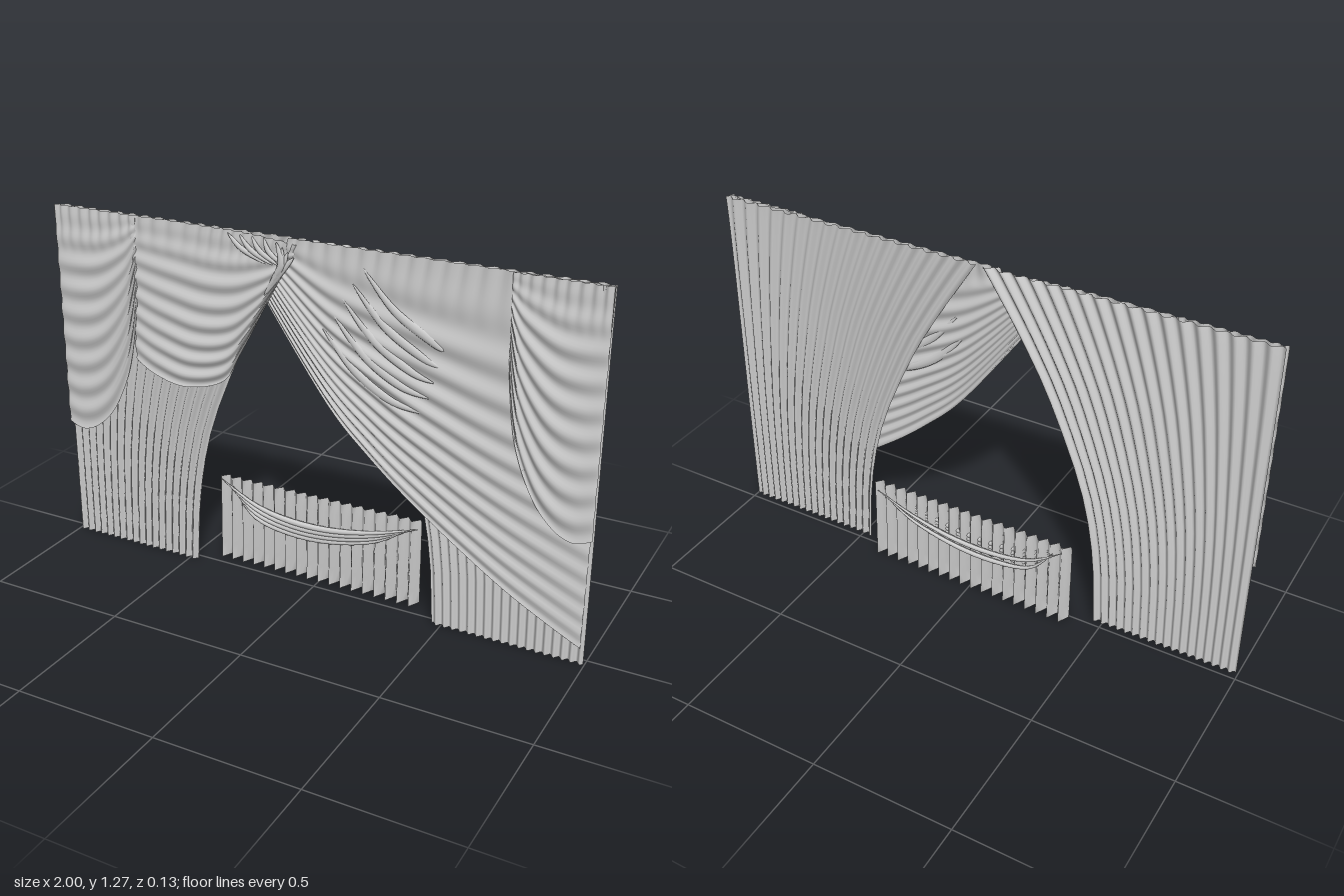
import * as THREE from 'three';

const cloth = new THREE.MeshStandardMaterial({ color: 0xcccccc, side: THREE.DoubleSide });
cloth.name = 'grey cloth';

const TAU = Math.PI * 2;
const lerp = THREE.MathUtils.lerp;
const spline = (pts) => new THREE.SplineCurve(pts.map(([x, y]) => new THREE.Vector2(x, y)));
const mirror = (pts) => pts.map(([x, y]) => [-x, y]).reverse();

// Smooth sheet from f(u, v) -> [x, y, z]; u runs right, v runs down
function sheet(name, nu, nv, f) {
  const pos = [], idx = [];
  for (let j = 0; j <= nv; j++)
    for (let i = 0; i <= nu; i++) pos.push(...f(i / nu, j / nv));
  for (let j = 0; j < nv; j++)
    for (let i = 0; i < nu; i++) {
      const a = j * (nu + 1) + i, b = a + nu + 1;
      idx.push(a, b, a + 1, b, b + 1, a + 1);
    }
  const g = new THREE.BufferGeometry();
  g.setAttribute('position', new THREE.Float32BufferAttribute(pos, 3));
  g.setIndex(idx);
  g.computeVertexNormals();
  const mesh = new THREE.Mesh(g, cloth);
  mesh.name = name;
  return mesh;
}

// Swag hung between an upper and a lower edge, with folds along it and a pleated heading
function swag(name, upper, lower, { folds, pleats, z, bulge, nu, sag = 0, bias = 1 }) {
  const top = spline(upper), hem = spline(lower);
  return sheet(name, nu, folds * 8, (u, v) => {
    const p = top.getPoint(u), q = hem.getPoint(u);
    const mid = Math.sin(Math.PI * u);
    const fade = Math.min(1, v * 4) * (0.45 + 0.55 * mid);
    const wobble = 0.25 * Math.sin(u * 9);
    const fold = Math.sin(TAU * folds * Math.pow(v, bias) + wobble);
    const heading = Math.max(0, 1 - v * 5) * Math.sin(TAU * pleats * u);
    const lift = bulge * Math.sqrt(Math.max(0, mid)) * Math.sin(Math.PI * v * 0.75);
    return [
      lerp(p.x, q.x, v),
      lerp(p.y, q.y, v) - sag * mid * Math.sin(Math.PI * v),
      z + lift + 0.006 * fade * fold + 0.005 * heading,
    ];
  });
}

// Tapered roll of cloth along a curve in the x-y plane
function roll(name, pts, z, radius, depth) {
  const c = spline(pts);
  return sheet(name, 24, 8, (u, v) => {
    const p = c.getPoint(u), t = c.getTangent(u);
    const r = 0.12 + 0.88 * Math.sin(Math.PI * u);
    const a = -v * TAU;
    const n = Math.cos(a) * radius * r;
    return [p.x - t.y * n, p.y + t.x * n, z - Math.sin(a) * depth * r];
  });
}

export function createModel() {
  const model = new THREE.Group();
  model.name = 'draped curtains';

  // Two full-height pleated curtains, fanning out from the top centre
  const edge = spline([[-0.01, 1.27], [-0.055, 1.2], [-0.155, 1.04], [-0.26, 0.85],
    [-0.385, 0.55], [-0.445, 0.28], [-0.465, 0]]);
  for (const side of [-1, 1]) {
    model.add(sheet(side < 0 ? 'rightCurtain' : 'leftCurtain', 144, 16, (u, v) => {
      const e = edge.getPoint(v);
      const across = side < 0 ? u : 1 - u;
      const x = lerp(-0.995, e.x, across);
      const wave = Math.sin(TAU * 18 * across + 0.4 * Math.sin(v * 5));
      return [-side * -x * -1, e.y, 0.027 + 0.008 * wave];
    }));
  }

  // Outer swags, one on each side
  const outerTop = [[-1, 1.27], [-0.83, 1.27], [-0.66, 1.27]];
  const outerHem = [[-1, 0.455], [-0.93, 0.438], [-0.85, 0.475], [-0.77, 0.57],
    [-0.7, 0.74], [-0.665, 0.97]];
  const outer = { folds: 9, pleats: 9, nu: 60, z: 0.043, bulge: 0.014 };
  model.add(swag('rightOuterSwag', outerTop, outerHem, outer));
  const narrow = ([x, y]) => [lerp(1, x, 0.9) - 0.005, y];
  model.add(swag('leftOuterSwag', mirror(outerTop).map(narrow), mirror(outerHem).map(narrow),
    { ...outer, z: 0.048, bulge: 0.011 }));

  // Short swag gathered into the knot
  model.add(swag('shortSwag',
    [[-0.685, 1.27], [-0.4, 1.27], [-0.2, 1.265], [-0.03, 1.25]],
    [[-0.685, 0.755], [-0.6, 0.71], [-0.475, 0.688], [-0.325, 0.735], [-0.25, 0.85], [-0.15, 1.04]],
    { folds: 8, pleats: 15, nu: 90, z: 0.042, bulge: 0.012, sag: 0.035 }));

  // Long swag sweeping from the knot down to the far side
  model.add(swag('longSwag',
    [[-0.07, 1.27], [0.25, 1.27], [0.6, 1.27], [0.995, 1.27]],
    [[-0.15, 1.04], [0.07, 0.735], [0.22, 0.58], [0.4, 0.43], [0.71, 0.215], [0.985, 0.065]],
    { folds: 11, pleats: 18, nu: 110, z: 0.041, bulge: 0.008, sag: 0.03, bias: 1.7 }));

  // Crescent folds lying on the long swag
  for (let i = 0; i < 5; i++) {
    const x = 0.06 + i * 0.035, y = 0.99 + i * 0.055;
    model.add(roll('crescentFold', [[x, y], [x + 0.11, y - 0.12], [x + 0.24, y - 0.2],
      [x + 0.36 - i * 0.02, y - 0.225]], 0.049, 0.016, 0.008));
  }

  // Knot where the two swags meet
  for (let i = 0; i < 4; i++) {
    model.add(roll('knotFold', [[-0.155 + i * 0.012, 1.07 + i * 0.02],
      [-0.1 + i * 0.004, 1.15 + i * 0.012], [-0.045 - i * 0.02, 1.21 + i * 0.015]],
    0.05 + 0.002 * i, 0.013, 0.008));
    model.add(roll('gatherFold', [[-0.29 + i * 0.045, 1.26], [-0.24 + i * 0.035, 1.215],
      [-0.15 + i * 0.025, 1.175]], 0.049, 0.01, 0.007));
  }

  // Low pleated curtain behind the opening
  const low = new THREE.Group();
  low.name = 'lowCurtain';
  low.add(sheet('lowPanel', 72, 6, (u, v) => {
    const tri = Math.asin(Math.sin(TAU * 18 * u)) * 2 / Math.PI;
    return [lerp(-0.4, 0.392, u), lerp(0.335, 0.01, v), -0.038 + lerp(0.013, 0.022, v) * tri];
  }));

  // Thin swag folds draped over the front and back of the low curtain
  for (let i = 0; i < 4; i++) {
    const d = i * 0.016;
    const path = [[-0.385 + d, 0.325 - d * 0.4], [-0.25, 0.255 - d], [-0.11, 0.225 - d],
      [0.05, 0.226 - d * 0.9], [0.22, 0.258 - d * 0.7], [0.385 - d, 0.312 - d * 0.4]];
    low.add(roll('lowSwagFold', path, -0.021, 0.011, 0.012));
    if (i % 2) low.add(roll('lowSwagBackFold', path, -0.056, 0.009, 0.009));
  }
  model.add(low);
  return model;
}
